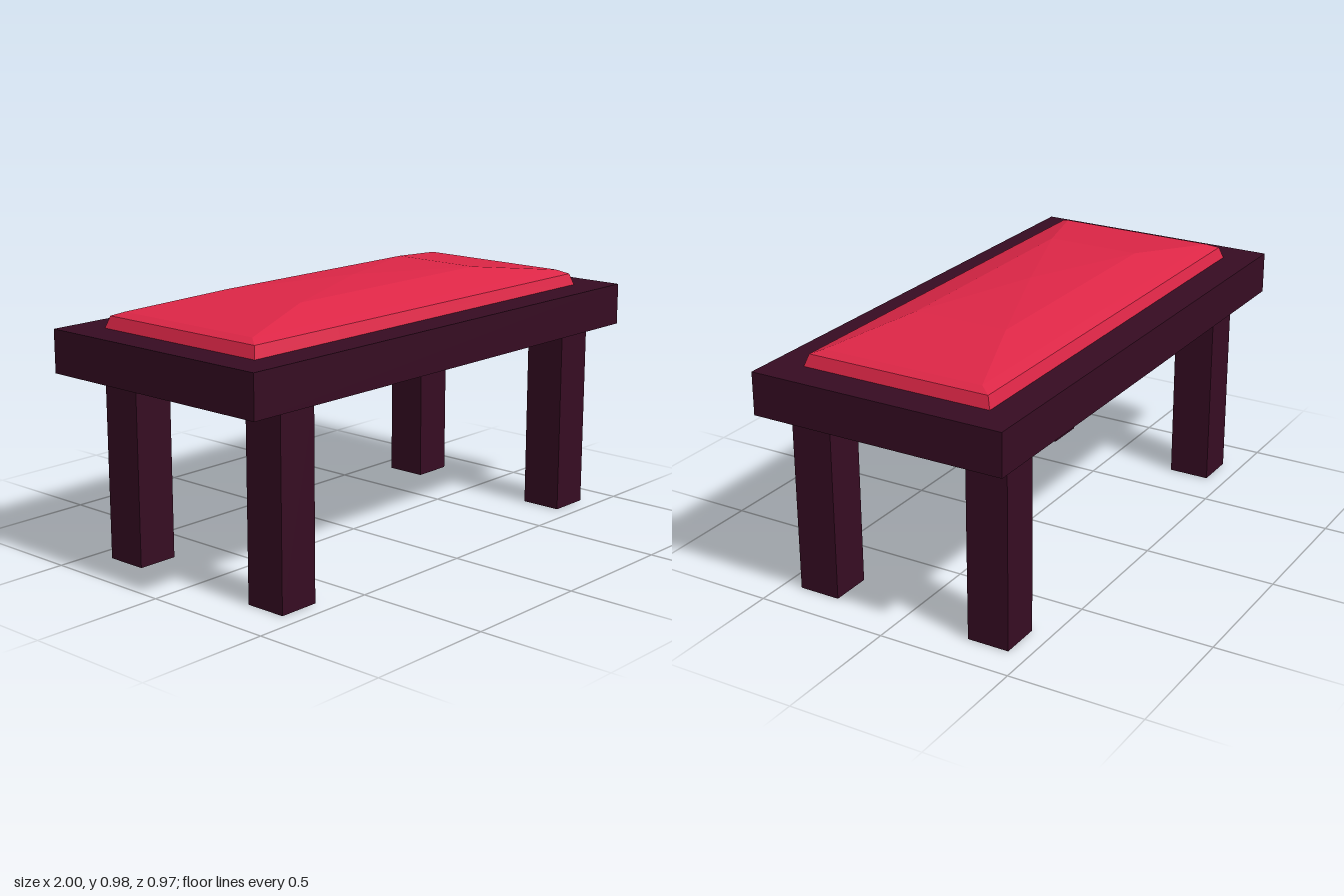
import * as THREE from 'three';

export function createModel() {
  const group = new THREE.Group();
  const wood = new THREE.MeshStandardMaterial({ name: 'darkWood', color: 0x360c22, flatShading: true, side: THREE.DoubleSide });
  const fabric = new THREE.MeshStandardMaterial({ name: 'redFabric', color: 0xdc2646, flatShading: true });

  const add = (name, geometry, material, x, y, z) => {
    const mesh = new THREE.Mesh(geometry, material);
    mesh.name = name;
    mesh.position.set(x, y, z);
    group.add(mesh);
    return mesh;
  };

  // Seat slab
  add('seatSlab', new THREE.BoxGeometry(2, 0.157, 0.97), wood, 0, 0.7835, 0);

  // Square tube legs, open at the foot
  const legSide = 0.158, legHeight = 0.706;
  const legGeometry = new THREE.CylinderGeometry(legSide / Math.SQRT2, legSide / Math.SQRT2, legHeight, 4, 1, true)
    .rotateY(Math.PI / 4);
  for (const [side, x] of [['Right', -0.75], ['Left', 0.79]]) {
    for (const [end, z] of [['front', 0.352], ['back', -0.345]]) {
      add(`${end}${side}Leg`, legGeometry, wood, x, legHeight / 2, z);
    }
  }

  // Padded cushion: a domed grid whose height falls off ring by ring
  const ringX = [0, 0.47, 0.83, 0.86, 0.875];
  const ringZ = [0, 0.18, 0.31, 0.35, 0.365];
  const ringY = [0.977, 0.964, 0.92, 0.905, 0.86];
  const point = (i, j, sx, sz) => [sx * ringX[i], ringY[Math.max(i, j)], sz * ringZ[j]];
  const positions = [];
  for (const sx of [-1, 1]) {
    for (const sz of [-1, 1]) {
      for (let i = 0; i < 4; i++) {
        for (let j = 0; j < 4; j++) {
          const a = point(i, j, sx, sz), b = point(i, j + 1, sx, sz);
          const c = point(i + 1, j + 1, sx, sz), d = point(i + 1, j, sx, sz);
          const corners = sx * sz > 0 ? [a, b, c, a, c, d] : [a, c, b, a, d, c];
          positions.push(...corners.flat());
        }
      }
    }
  }
  const cushion = new THREE.BufferGeometry();
  cushion.setAttribute('position', new THREE.Float32BufferAttribute(positions, 3));
  cushion.computeVertexNormals();
  add('cushion', cushion, fabric, 0, 0, 0);

  // Cushion base showing in the underside of the slab
  add('cushionBase', new THREE.BoxGeometry(0.95, 0.006, 0.36), fabric, 0, 0.706, 0);

  return group;
}
